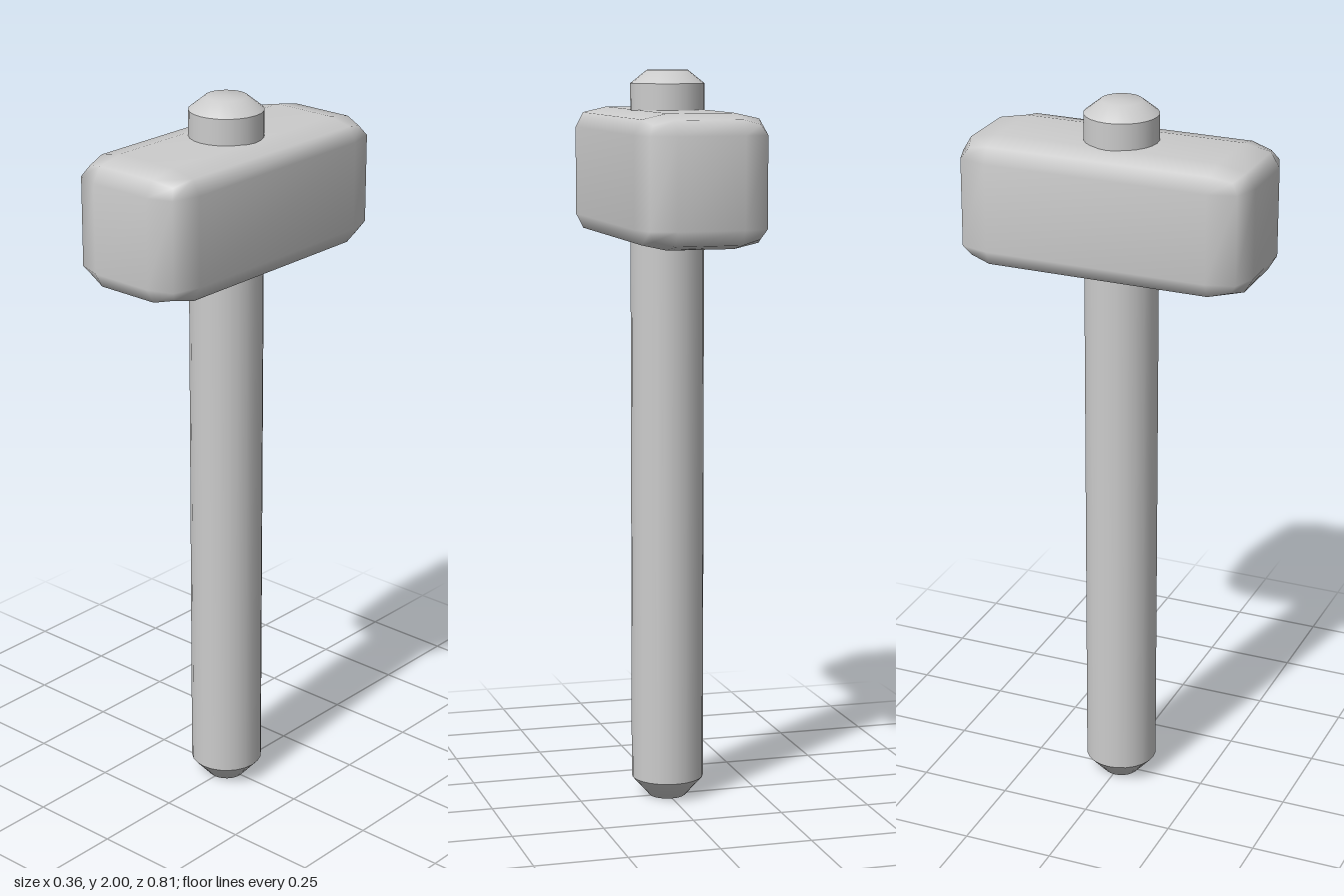
import * as THREE from 'three';
import { mergeVertices } from 'three/addons/utils/BufferGeometryUtils.js';

const material = new THREE.MeshStandardMaterial({ color: 0xcccccc });
const SIDES = 24;

function lathePart(name, profile) {
  const points = profile.map(([r, y]) => new THREE.Vector2(r, y));
  const mesh = new THREE.Mesh(new THREE.LatheGeometry(points, SIDES), material);
  mesh.name = name;
  return mesh;
}

// Softened block: a 3x3x3 box whose edges and corners are drawn inwards.
function headGeometry() {
  const box = new THREE.BoxGeometry(3, 3, 3, 3, 3, 3);
  box.deleteAttribute('normal');
  box.deleteAttribute('uv');
  const geometry = mergeVertices(box);
  const inner = [0.09, 0.12, 0.306];
  // Outer half-sizes on the faces, along the edges and at the corners
  const outer = {
    1: [0.178, 0.175, 0.406],
    2: [0.157, 0.16, 0.382],
    3: [0.143, 0.147, 0.364],
  };
  const position = geometry.attributes.position;
  for (let i = 0; i < position.count; i++) {
    const p = [position.getX(i), position.getY(i), position.getZ(i)];
    const extremes = p.filter((c) => Math.abs(c) > 1).length;
    const q = p.map((c, k) => Math.sign(c) * (Math.abs(c) > 1 ? outer[extremes][k] : inner[k]));
    position.setXYZ(i, ...q);
  }
  geometry.computeVertexNormals();
  return geometry;
}

export function createModel() {
  const model = new THREE.Group();
  model.name = 'hammer';

  // Handle: straight shaft with tapered ends, passing through the head
  const handle = new THREE.Group();
  handle.name = 'handle';
  handle.position.z = 0.005;
  handle.add(
    lathePart('handleBottomTip', [[0, 0], [0.05, 0], [0.099, 0.055]]),
    lathePart('handleShaft', [[0.099, 0.055], [0.099, 1.965]]),
    lathePart('handleTopTip', [[0.099, 1.965], [0.055, 2], [0, 2]]),
  );
  model.add(handle);

  // Head
  const head = new THREE.Mesh(headGeometry(), material);
  head.name = 'head';
  head.position.y = 1.72;
  model.add(head);

  return model;
}
